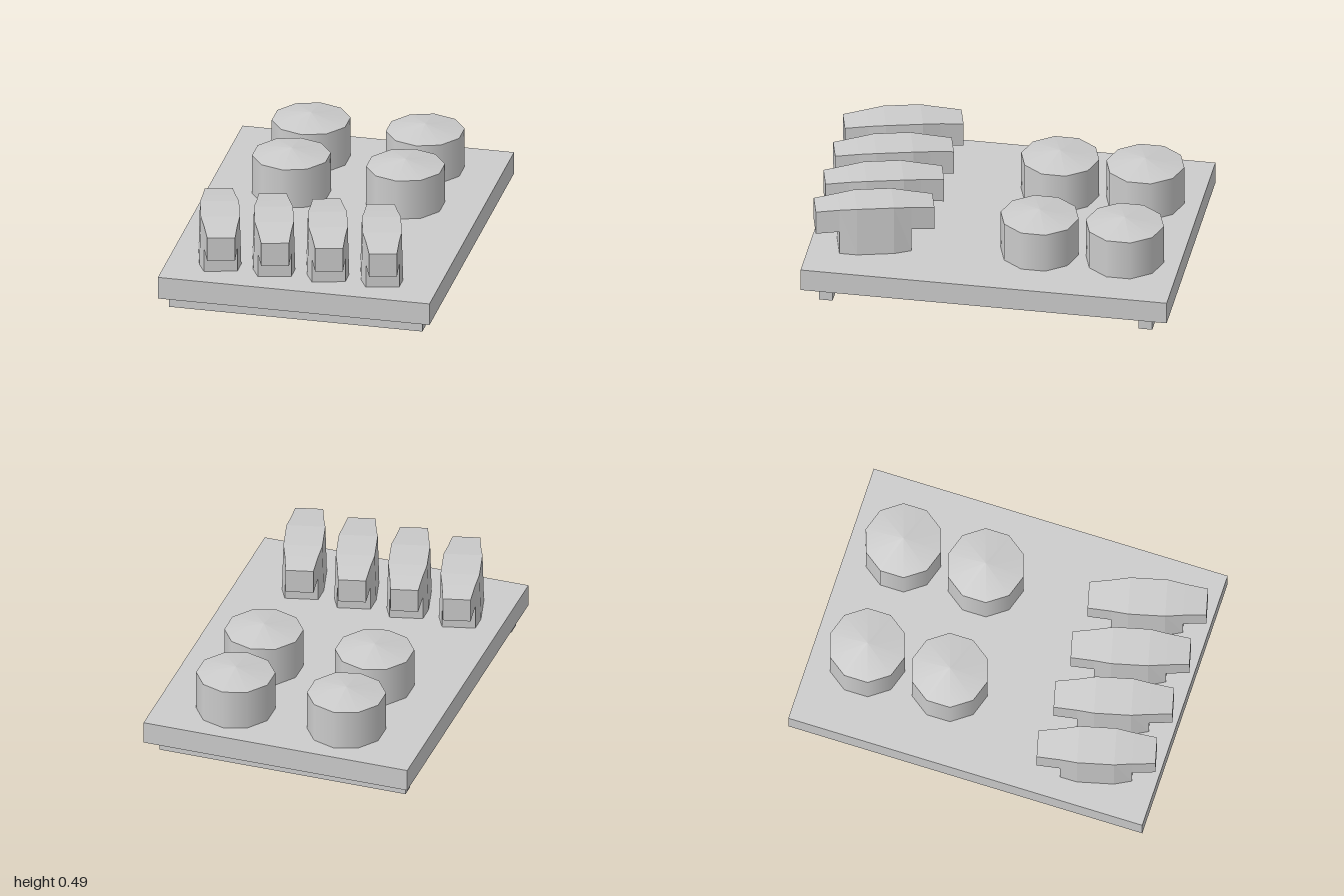
import * as THREE from 'three';

const material = new THREE.MeshStandardMaterial({ color: 0xcccccc });
const flat = new THREE.MeshStandardMaterial({ color: 0xcccccc, flatShading: true });

function add(parent, name, geometry, x, y, z, mat = flat) {
  const mesh = new THREE.Mesh(geometry, mat);
  mesh.name = name;
  mesh.position.set(x, y, z);
  parent.add(mesh);
  return mesh;
}

// Loft through sections [z, halfWidthBottom, halfWidthTop, bottom, top]
function loft(sections) {
  const rings = sections.map(([z, wb, wt, b, t]) => [[-wb, b, z], [wb, b, z], [wt, t, z], [-wt, t, z]]);
  const pos = [];
  const quad = (a, b, c, d) => pos.push(...a, ...b, ...c, ...a, ...c, ...d);
  for (let i = 0; i < rings.length - 1; i++) {
    const a = rings[i], b = rings[i + 1];
    for (let j = 0; j < 4; j++) {
      const k = (j + 1) % 4;
      quad(a[j], a[k], b[k], b[j]);
    }
  }
  const first = rings[0], last = rings[rings.length - 1];
  quad(first[3], first[2], first[1], first[0]);
  quad(...last);
  const g = new THREE.BufferGeometry();
  g.setAttribute('position', new THREE.Float32BufferAttribute(pos, 3));
  g.computeVertexNormals();
  return g;
}

export function createModel() {
  const group = new THREE.Group();

  // Tray with two rails underneath
  add(group, 'tray', new THREE.BoxGeometry(1.5, 0.125, 2), 0, 0.1475, 0);
  for (const z of [-0.873, 0.873]) {
    add(group, 'rail', new THREE.BoxGeometry(1.4, 0.085, 0.075), -0.01, 0.0425, z);
  }

  // Round buns with shallow pointed tops
  const bunSide = new THREE.CylinderGeometry(0.213, 0.213, 0.225, 10, 1, true);
  const bunTop = new THREE.ConeGeometry(0.213, 0.037, 10, 1, true);
  for (const x of [-0.3, 0.33]) {
    for (const z of [-0.697, -0.232]) {
      const bun = new THREE.Group();
      bun.name = 'bun';
      bun.position.set(x, 0, z);
      add(bun, 'bunSide', bunSide, 0, 0.3225, 0, material);
      add(bun, 'bunTop', bunTop, 0, 0.4535, 0, material);
      group.add(bun);
    }
  }

  // Slanted rolls: wide middle on the tray, narrower ends lifted clear of it
  const half = [
    [0.1, 0.113, 0.105, 0.21, 0.49],
    [0.194, 0.09, 0.09, 0.21, 0.48],
    [0.194, 0.09, 0.09, 0.345, 0.48],
    [0.32, 0.075, 0.075, 0.33, 0.465],
  ];
  const mirrored = half.map(([z, ...rest]) => [-z, ...rest]).reverse();
  const rollGeometry = loft([...mirrored, ...half]);
  for (let i = 0; i < 4; i++) {
    const roll = add(group, 'roll', rollGeometry, -0.487 + i * 0.298, 0, 0.659);
    roll.rotation.y = 0.25;
  }

  return group;
}
